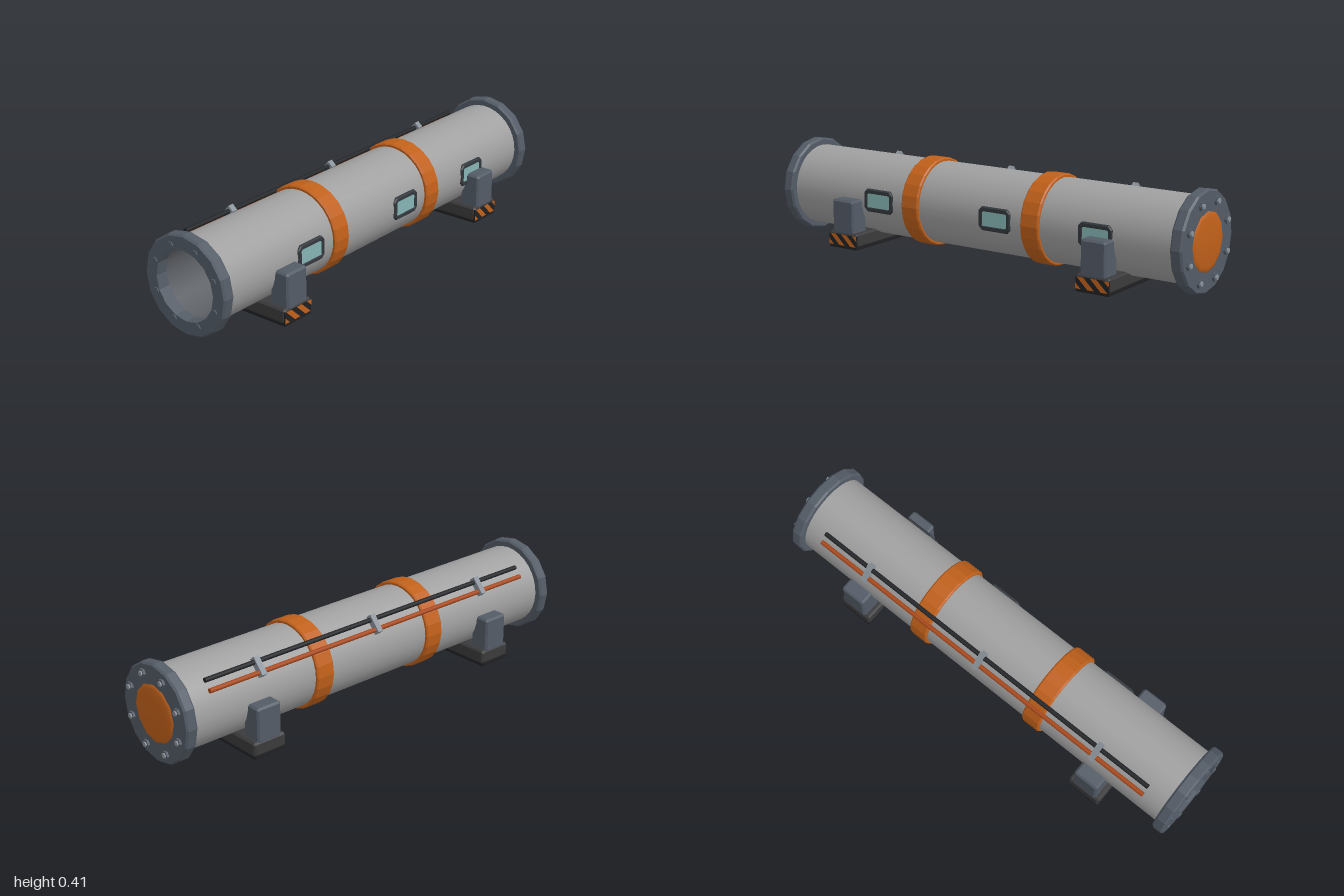
import * as THREE from 'three';

const AXIS_Y = 0.21;
const mat = (color, flat = true, extra = {}) =>
  new THREE.MeshStandardMaterial({ color, flatShading: flat, ...extra });
const M = {
  shell: mat(0xa0a0a0, false),
  bore: mat(0x5c5f64, false, { side: THREE.DoubleSide }),
  steel: mat(0x535b66),
  dark: mat(0x3a3a3c),
  black: mat(0x1f2023),
  orange: mat(0xc0601a),
  orangeSmooth: mat(0xc0601a, false),
  rail: mat(0xa8481a, false),
  railDark: mat(0x222427, false),
  frame: mat(0x33383d),
  glass: mat(0x86b4b4),
  bolt: mat(0x8a929a),
};

function add(parent, name, geometry, material, x = 0, y = 0, z = 0) {
  const mesh = new THREE.Mesh(geometry, material);
  mesh.name = name;
  mesh.position.set(x, y, z);
  parent.add(mesh);
  return mesh;
}

// Turned part lying along x; profile is a list of [radius, x]
function turned(profile, sides) {
  const pts = profile.map(([r, x]) => new THREE.Vector2(r, x));
  return new THREE.LatheGeometry(pts, sides).rotateZ(-Math.PI / 2);
}

// Straight cylinder along x
function rod(r, length, sides, open = false) {
  return new THREE.CylinderGeometry(r, r, length, sides, 1, open).rotateZ(-Math.PI / 2);
}

// Rectangle with cut corners
function plateShape(w, h, c) {
  const x = w / 2, y = h / 2;
  return new THREE.Shape([
    [-x + c, -y], [x - c, -y], [x, -y + c], [x, y - c],
    [x - c, y], [-x + c, y], [-x, y - c], [-x, -y + c],
  ].map(p => new THREE.Vector2(...p)));
}

// Block with chamfered edges, centred on its own origin
function block(w, h, d, b) {
  return new THREE.ExtrudeGeometry(plateShape(w - 2 * b, h - 2 * b, b * 0.4), {
    depth: d - 2 * b, bevelEnabled: true, bevelSize: b, bevelThickness: b, bevelSegments: 1,
  }).translate(0, 0, -d / 2 + b);
}

// Ring of eight hexagonal heads around the axis
function boltRing(parent, name, x, r, height, material) {
  const ring = new THREE.Group();
  ring.name = name;
  for (let i = 0; i < 8; i++) {
    const a = (i + 0.5) * Math.PI / 4;
    add(ring, 'bolt', rod(r, height, 6), material, x, 0.162 * Math.cos(a), 0.162 * Math.sin(a));
  }
  parent.add(ring);
}

// Cross base, two uprights and a striped front plate
function saddle(x) {
  const g = new THREE.Group();
  g.name = 'saddle';
  g.position.x = x;
  add(g, 'basePad', new THREE.BoxGeometry(0.15, 0.012, 0.466), M.black, 0, 0.006, 0);
  add(g, 'base', block(0.155, 0.06, 0.466, 0.008), M.dark, 0, 0.04, 0);
  for (const s of [-1, 1])
    add(g, 'upright', block(0.115, 0.15, 0.09, 0.008), M.steel, 0, 0.135, s * 0.188);
  add(g, 'warningPlate', new THREE.BoxGeometry(0.15, 0.048, 0.01), M.black, 0, 0.036, 0.229);
  const stripes = [
    [[-0.075, 0], [-0.05, 0], [-0.075, 0.024]],
    [[-0.02, 0], [0.01, 0], [-0.04, 0.048], [-0.07, 0.048]],
    [[0.04, 0], [0.07, 0], [0.02, 0.048], [-0.01, 0.048]],
    [[0.075, 0.024], [0.075, 0.048], [0.05, 0.048]],
  ];
  for (const s of stripes) {
    const shape = new THREE.Shape(s.map(p => new THREE.Vector2(...p)));
    add(g, 'warningStripe', new THREE.ShapeGeometry(shape), M.orange, 0, 0.012, 0.235);
  }
  return g;
}

// Framed pane set in the front of the shell
function porthole(x) {
  const g = new THREE.Group();
  g.name = 'window';
  g.position.set(x, 0.212, 0.155);
  const shape = plateShape(0.147, 0.09, 0.014);
  shape.holes.push(plateShape(0.122, 0.065, 0.006));
  add(g, 'windowFrame', new THREE.ExtrudeGeometry(shape, {
    depth: 0.018, bevelEnabled: true, bevelSize: 0.004, bevelThickness: 0.005, bevelSegments: 1,
  }), M.frame);
  add(g, 'windowPane', new THREE.BoxGeometry(0.126, 0.068, 0.018), M.glass, 0, 0, 0.011);
  return g;
}

export function createModel() {
  const model = new THREE.Group();
  model.name = 'tubeModule';
  const tube = new THREE.Group();
  tube.name = 'tube';
  tube.position.y = AXIS_Y;
  model.add(tube);

  // Shell and hollow bore
  add(tube, 'shell', rod(0.174, 1.89, 32, true), M.shell, -0.005);
  add(tube, 'bore', rod(0.145, 1.9, 32, true), M.bore, -0.02);

  // Open flange at one end, closed flange at the other
  add(tube, 'openFlange', turned([
    [0.145, -0.995], [0.198, -0.995], [0.205, -0.987], [0.205, -0.952],
    [0.198, -0.944], [0.145, -0.944], [0.145, -0.995],
  ].map(([r, x]) => [r, x]), 16), M.steel);
  add(tube, 'closedFlange', turned([
    [0, 0.933], [0.198, 0.933], [0.205, 0.941], [0.205, 0.976], [0.198, 0.984], [0, 0.984],
  ], 16), M.steel);
  add(tube, 'endCap', turned([
    [0.12, 0.98], [0.12, 0.986], [0.105, 0.99], [0.075, 0.994], [0.04, 0.996], [0, 0.997],
  ], 12), M.orangeSmooth);

  // Flange bolts
  boltRing(tube, 'openFlangeBolts', -0.994, 0.014, 0.012, M.steel);
  boltRing(tube, 'closedFlangeWashers', 0.986, 0.018, 0.016, M.steel);
  boltRing(tube, 'closedFlangeBolts', 0.99, 0.011, 0.02, M.bolt);

  // Orange bands
  for (const x of [-0.305, 0.295])
    add(tube, 'band', turned([
      [0.17, -0.043], [0.183, -0.043], [0.188, -0.037],
      [0.188, 0.037], [0.183, 0.043], [0.17, 0.043],
    ], 24), M.orange, x);

  // Pipe runs on the upper back, held by clips
  const around = (r, deg) => {
    const a = THREE.MathUtils.degToRad(deg);
    return [r * Math.sin(a), -r * Math.cos(a)];
  };
  add(tube, 'orangePipe', rod(0.01, 1.693, 10), M.rail, -0.006, ...around(0.188, 34));
  add(tube, 'blackPipe', rod(0.01, 1.693, 10), M.railDark, -0.006, ...around(0.188, 47.5));
  for (const x of [-0.605, -0.005, 0.595]) {
    const clip = add(tube, 'pipeClip', new THREE.BoxGeometry(0.025, 0.08, 0.03), M.bolt,
      x, ...around(0.187, 41));
    clip.rotation.x = THREE.MathUtils.degToRad(41);
  }

  // Windows and saddles
  for (const x of [-0.48, 0.12, 0.593]) model.add(porthole(x));
  for (const x of [-0.63, 0.62]) model.add(saddle(x));
  return model;
}
